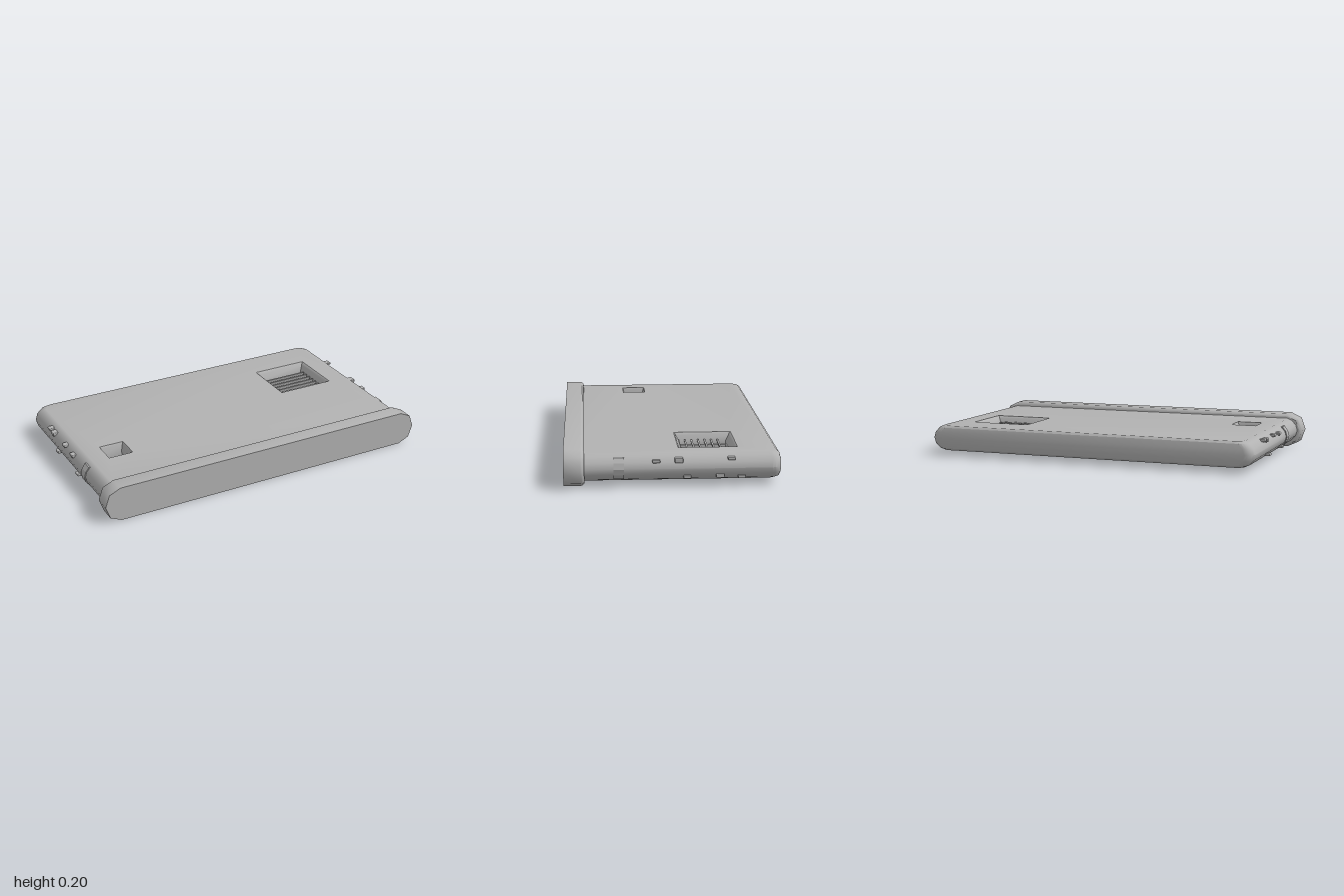
import * as THREE from 'three';
import { mergeGeometries, toCreasedNormals } from 'three/addons/utils/BufferGeometryUtils.js';
import { RoundedBoxGeometry } from 'three/addons/geometries/RoundedBoxGeometry.js';

const grey = new THREE.MeshStandardMaterial({ color: 0xb2b2b2 });

// Skin between stacked rings; each ring is { pts: [[x, y], ...], h }
function loft(rings) {
  const pos = [];
  for (let k = 0; k < rings.length - 1; k++) {
    const a = rings[k], b = rings[k + 1], n = a.pts.length;
    for (let i = 0; i < n; i++) {
      const j = (i + 1) % n;
      const A = [...a.pts[i], a.h], B = [...a.pts[j], a.h];
      const C = [...b.pts[j], b.h], D = [...b.pts[i], b.h];
      pos.push(...A, ...B, ...C, ...A, ...C, ...D);
    }
  }
  const g = new THREE.BufferGeometry();
  g.setAttribute('position', new THREE.Float32BufferAttribute(pos, 3));
  return g;
}

// Flat end face, with optional holes
function cap(pts, h, holes, flip) {
  const vec = (list) => list.map(([x, y]) => new THREE.Vector2(x, y));
  const shape = new THREE.Shape(vec(pts));
  holes.forEach((hole) => shape.holes.push(new THREE.Path(vec(hole))));
  const indexed = new THREE.ShapeGeometry(shape);
  if (flip) indexed.index.array.reverse();
  const g = indexed.toNonIndexed().translate(0, 0, h);
  g.deleteAttribute('normal');
  g.deleteAttribute('uv');
  return g;
}

function solid(name, parts, crease) {
  const mesh = new THREE.Mesh(toCreasedNormals(mergeGeometries(parts), crease), grey);
  mesh.name = name;
  return mesh;
}

// Slab plan, rounded at the two back corners
function slabOutline(ix, iz) {
  const w = 0.973 - ix, back = 0.58 - iz, r = 0.05, pts = [[-w, -0.5], [w, -0.5]];
  for (const [cx, start] of [[w - r, 0], [r - w, Math.PI / 2]]) {
    for (let i = 0; i <= 5; i++) {
      const a = start + (i / 5) * Math.PI / 2;
      pts.push([cx + r * Math.cos(a), back - r + r * Math.sin(a)]);
    }
  }
  return pts;
}

// Clockwise rectangle, so that the lofted walls face into the opening
function holeRing({ x0, x1, v0, v1 }, d) {
  return [[x0 + d, v0 + d], [x0 + d, v1 - d], [x1 - d, v1 - d], [x1 - d, v0 + d]];
}

export function createModel() {
  const model = new THREE.Group();
  model.name = 'slab';

  // Body: rounded long sides, two stepped openings right through
  const levels = [[0.03, 0.06, 0.02], [0.042, 0.035, 0.006], [0.07, 0.01, 0], [0.1025, 0, 0],
    [0.135, 0.01, 0], [0.163, 0.035, 0.006], [0.175, 0.06, 0.02]];
  const rings = levels.map(([h, ix, iz]) => ({ pts: slabOutline(ix, iz), h }));
  const openings = [
    { x0: 0.455, x1: 0.8, v0: 0.037, v1: 0.36, d: 0.03 },
    { x0: -0.815, x1: -0.67, v0: -0.212, v1: -0.072, d: 0.015 },
  ];
  const mouths = openings.map((o) => holeRing(o, 0));
  const walls = openings.map((o) => loft([[0.03, 0], [0.036, 0.25], [0.046, 0.4], [0.075, 1],
    [0.13, 1], [0.159, 0.4], [0.169, 0.25], [0.175, 0]]
    .map(([h, f]) => ({ pts: holeRing(o, f * o.d), h }))));
  const body = solid('body', [loft(rings), ...walls,
    cap(rings[6].pts, 0.175, mouths, false), cap(rings[0].pts, 0.03, mouths, true)], 0.6);
  body.rotation.x = -Math.PI / 2;
  model.add(body);

  // Front end band, square at the front and bevelled behind
  const bandOutline = (d) => {
    const half = [[0.91, -0.1 + d], [0.975 - d, -0.07 + d * 0.5], [1 - d, 0],
      [0.975 - d, 0.07 - d * 0.5], [0.91, 0.1 - d]];
    return [...half, ...half.map(([x, y]) => [-x, -y])].map(([x, y]) => [x, y + 0.1]);
  };
  const band = [[0.47, 0.013], [0.482, 0.002], [0.49, 0], [0.58, 0]]
    .map(([h, d]) => ({ pts: bandOutline(d), h }));
  model.add(solid('frontBand', [loft(band),
    cap(band[3].pts, 0.58, [], false), cap(band[0].pts, 0.47, [], true)], 0.85));

  // Curved louvre slats in the large opening
  const slat = new THREE.Shape();
  slat.moveTo(-0.022, 0.142);
  slat.quadraticCurveTo(-0.012, 0.09, 0.016, 0.062);
  slat.lineTo(0.023, 0.067);
  slat.quadraticCurveTo(-0.003, 0.095, -0.012, 0.142);
  const slatGeo = new THREE.ExtrudeGeometry(slat, { depth: 0.27, bevelEnabled: false, curveSegments: 6 });
  slatGeo.rotateY(Math.PI / 2);
  const louvres = new THREE.Group();
  louvres.name = 'louvres';
  for (let i = 0; i < 7; i++) {
    const mesh = new THREE.Mesh(slatGeo, grey);
    mesh.name = 'slat';
    mesh.position.set(0.493, 0, -0.299 + 0.037 * i);
    louvres.add(mesh);
  }
  // Bars that carry the slat ends
  for (const x of [0.49, 0.767]) {
    const bar = new THREE.Mesh(new THREE.BoxGeometry(0.008, 0.02, 0.28), grey);
    bar.name = 'slatBar';
    bar.position.set(x, 0.1, -0.198);
    louvres.add(bar);
  }
  model.add(louvres);

  // Raised nubs along the sides: [z, y, length, height]
  const nubs = {
    1: [[0.09, 0.142, 0.042, 0.016], [-0.03, 0.146, 0.045, 0.026], [-0.31, 0.152, 0.04, 0.015],
      [-0.075, 0.055, 0.042, 0.016], [-0.25, 0.06, 0.045, 0.02], [-0.365, 0.053, 0.04, 0.016]],
    '-1': [[-0.315, 0.15, 0.04, 0.016], [-0.26, 0.145, 0.045, 0.022], [-0.09, 0.148, 0.04, 0.016],
      [0.03, 0.142, 0.042, 0.018], [-0.2, 0.055, 0.042, 0.016], [0.1, 0.057, 0.04, 0.016]],
  };
  // Curved side plate hugging the rounded edge
  const plate = new THREE.Shape([[0.93, 0.045], [0.949, 0.045], [0.969, 0.07], [0.978, 0.1025],
    [0.969, 0.135], [0.949, 0.161], [0.93, 0.161]].map(([x, y]) => new THREE.Vector2(x, y)));
  const plateGeo = new THREE.ExtrudeGeometry(plate, { depth: 0.055, bevelEnabled: false });
  for (const side of [1, -1]) {
    const group = new THREE.Group();
    group.name = side > 0 ? 'leftSideDetails' : 'rightSideDetails';
    for (const [z, y, length, height] of nubs[side]) {
      const nub = new THREE.Mesh(new RoundedBoxGeometry(0.036, height, length, 2, 0.005), grey);
      nub.name = 'nub';
      nub.position.set(side * 0.956, y, z);
      group.add(nub);
    }
    const mesh = new THREE.Mesh(plateGeo, grey);
    mesh.name = 'sidePlate';
    mesh.rotation.y = side > 0 ? 0 : Math.PI;
    mesh.position.z = side > 0 ? 0.26 : 0.235;
    group.add(mesh);
    model.add(group);
  }
  return model;
}
